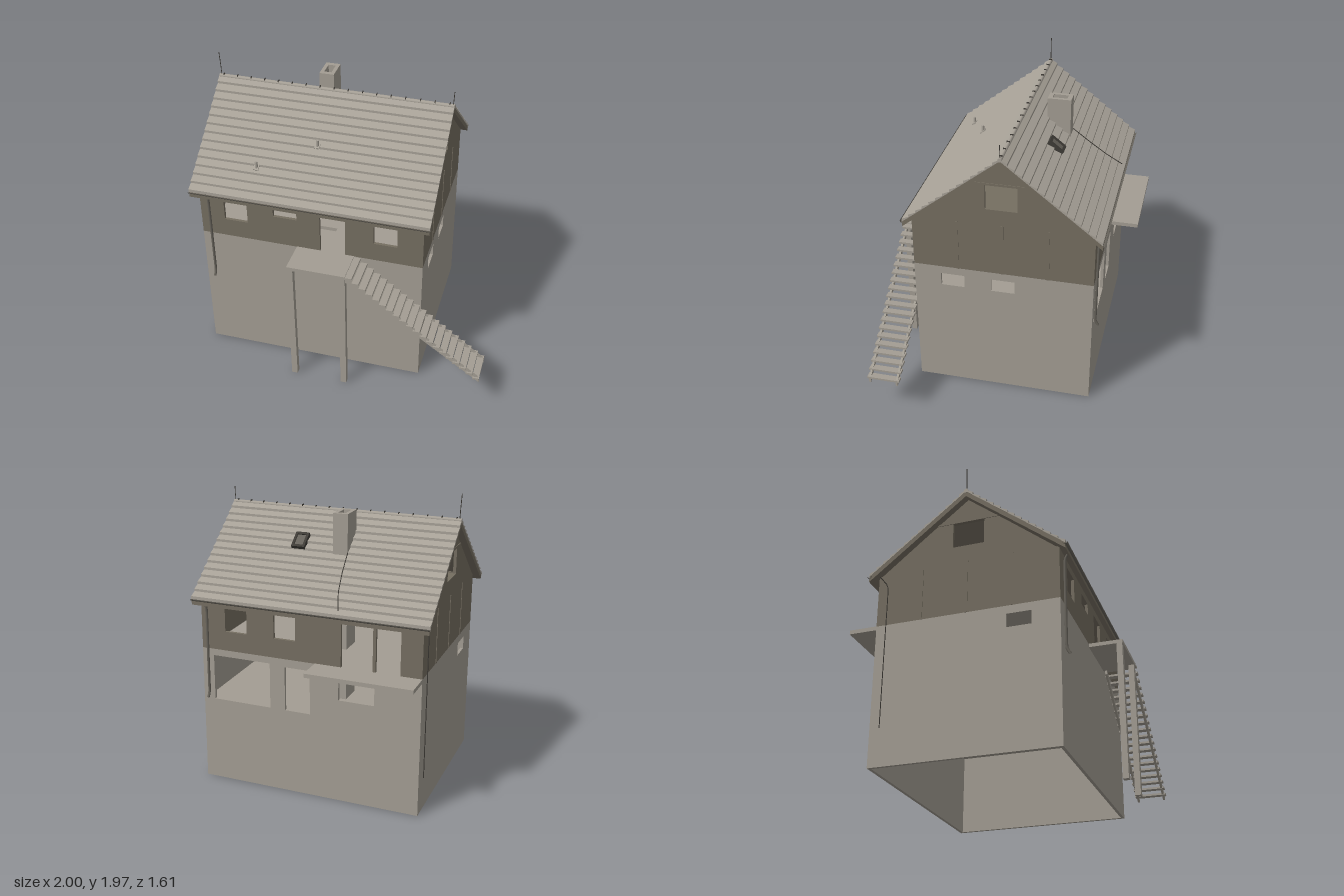
import * as THREE from 'three';

const mat = (name, color, side = THREE.FrontSide) => {
  const m = new THREE.MeshStandardMaterial({ color, side });
  m.name = name;
  return m;
};

export function createModel() {
  const house = new THREE.Group();
  house.name = 'house';
  const plaster = mat('plaster', 0xa39d93);
  const tile = mat('roofTile', 0xa7a197);
  const wood = mat('darkWood', 0x756e61);
  const metal = mat('metal', 0x67635b, THREE.DoubleSide);
  const dark = mat('darkFrame', 0x3f3c37);

  const X0 = -0.95, X1 = 0.555, Z0 = -0.62, Z1 = 0.58; // wall faces
  const T = 0.02, FLOOR = 0.935, ZR = -0.02, PITCH = 0.792, HALF = 0.65;
  const angle = Math.atan(PITCH);
  const roofY = (z) => 1.81 - PITCH * Math.abs(z - ZR);

  const add = (name, geo, m, x = 0, y = 0, z = 0, parent = house) => {
    const mesh = new THREE.Mesh(geo, m);
    mesh.name = name;
    mesh.position.set(x, y, z);
    parent.add(mesh);
    return mesh;
  };
  // box from its minimum and maximum corners
  const block = (name, m, a, b) => add(name,
    new THREE.BoxGeometry(b[0] - a[0], b[1] - a[1], b[2] - a[2]), m,
    (a[0] + b[0]) / 2, (a[1] + b[1]) / 2, (a[2] + b[2]) / 2);
  // polygon with rectangular holes [x0, y0, x1, y1]
  const panel = (pts, holes, depth) => {
    const s = new THREE.Shape(pts.map((p) => new THREE.Vector2(...p)));
    for (const [a, b, c, d] of holes) {
      s.holes.push(new THREE.Path([[a, b], [a, d], [c, d], [c, b]].map((p) => new THREE.Vector2(...p))));
    }
    return new THREE.ExtrudeGeometry(s, { depth, bevelEnabled: false });
  };
  const rect = (a, b, c, d) => [[a, b], [c, b], [c, d], [a, d]];
  // same, drawn in (z, y) and running from x = right towards -x
  const sidePanel = (pts, holes, depth, right) =>
    panel(pts, holes, depth).rotateY(-Math.PI / 2).translate(right, 0, 0);
  // same, drawn in (x, z) and running up from y
  const flatPanel = (pts, holes, depth, y) =>
    panel(pts.map(([x, z]) => [x, -z]).reverse(), holes.map(([a, b, c, d]) => [a, -d, c, -b]), depth)
      .rotateX(-Math.PI / 2).translate(0, y, 0);
  const tube = (name, pts, r, m) => add(name, new THREE.TubeGeometry(
    new THREE.CatmullRomCurve3(pts.map((p) => new THREE.Vector3(...p)), false, 'catmullrom', 0.1), 32, r, 8), m);

  // plastered lower storey, open underneath
  add('lowerFrontWall', panel(rect(X0, 0, X1, FLOOR), [], T), plaster, 0, 0, Z1 - T);
  add('lowerBackWall', panel(rect(X0, 0, X1, FLOOR),
    [[0.07, 0.58, 0.475, 0.89], [-0.21, 0.58, -0.035, 0.88], [-0.645, 0.71, -0.405, 0.88]], T), plaster, 0, 0, Z0);
  const lowerSide = rect(Z0 + T, 0, Z1 - T, FLOOR);
  add('lowerRightWall', sidePanel(lowerSide, [[0.24, 0.79, 0.4, 0.88], [-0.1, 0.79, 0.06, 0.88]], T, X1), plaster);
  add('lowerLeftWall', sidePanel(lowerSide, [[0.24, 0.79, 0.4, 0.88]], T, X0 + T), plaster);

  // inner floors, the lower two with a stair opening
  const inside = rect(X0 + T, Z0 + T, X1 - T, Z1 - T);
  const stairwell = [[-0.64, 0.32, -0.09, 0.54]];
  add('basementFloor', flatPanel(inside, stairwell, 0.025, 0.555), plaster);
  add('mainFloor', flatPanel(inside, stairwell, 0.025, 0.91), plaster);
  add('atticFloor', flatPanel(inside, [], 0.02, 1.26), wood);

  // timber upper storey
  const TOP = 1.29, win = [1.065, 1.23];
  add('upperFrontWall', panel([[X0, FLOOR], [-0.13, FLOOR], [-0.13, 1.23], [0.04, 1.23], [0.04, FLOOR],
    [X1, FLOOR], [X1, TOP], [X0, TOP]],
  [[-0.785, win[0], -0.625, win[1]], [-0.445, 1.15, -0.285, win[1]], [0.23, win[0], 0.385, win[1]]], T),
  wood, 0, 0, Z1 - T);
  add('upperBackWall', panel([[X0, FLOOR], [-0.81, FLOOR], [-0.81, 1.23], [-0.42, 1.23], [-0.42, FLOOR],
    [X1, FLOOR], [X1, TOP], [X0, TOP]],
  [[-0.11, win[0], 0.04, win[1]], [0.23, win[0], 0.385, win[1]]], T), wood, 0, 0, Z0);
  block('balconyDoorPost', wood, [-0.65, FLOOR, Z0], [-0.63, 1.23, Z0 + T]);
  const gable = [[Z0 + T, FLOOR], [Z1 - T, FLOOR], [Z1 - T, TOP], [ZR, 1.76], [Z0 + T, TOP]];
  const gableHole = [[-0.12, 1.415, 0.09, 1.59]];
  for (const [side, right, face] of [['right', X1, X1], ['left', X0 + T, X0]]) {
    add(side + 'Gable', sidePanel(gable, gableHole, T, right), wood);
    // cover strips on the boarding
    for (const z of [-0.32, -0.02, 0.28]) {
      block(side + 'GableStrip', wood, [face - 0.004, FLOOR, z - 0.008], [face + 0.004, 1.3, z + 0.008]);
    }
    block(side + 'GableRail', wood, [face - 0.004, 1.59, -0.23], [face + 0.004, 1.605, 0.19]);
  }

  // roof: timber deck below stepped tile courses
  const courses = 14;
  for (const s of [1, -1]) {
    const face = s > 0 ? 'front' : 'back';
    const at = (t, lift) => [ZR + s * HALF * t, 1.79 - PITCH * HALF * t + lift];
    const order = (pts) => (s > 0 ? pts : pts.reverse());
    add(face + 'RoofDeck', sidePanel(order([at(0, -0.035), at(1, -0.035), at(1, 0), at(0, 0)]), [], 1.594, 0.597), wood);
    const pts = [at(0, 0), at(1, 0)];
    for (let i = courses; i > 0; i--) pts.push(at(i / courses, 0.022), at((i - 1) / courses, 0.006));
    pts[pts.length - 1] = at(0, 0.012);
    add(face + 'RoofTiles', sidePanel(order(pts), [], 1.6, 0.6), tile);
    // half round gutter
    const gutter = new THREE.CylinderGeometry(0.016, 0.016, 1.6, 10, 1, true, 0, Math.PI);
    gutter.rotateZ(Math.PI / 2).rotateX(0);
    gutter.rotateX(Math.PI / 2);
    const bottom = gutter.clone();
    bottom.computeBoundingBox();
    if (bottom.boundingBox.max.y > 0.01 && bottom.boundingBox.min.y > -0.01) gutter.rotateX(Math.PI);
    else if (bottom.boundingBox.max.y > 0.01) gutter.rotateX(Math.PI / 2);
    add(face + 'Gutter', gutter, metal, -0.2, 1.282, s > 0 ? 0.628 : -0.668);
  }

  // ridge cap with holders
  const cap = add('ridgeCap', new THREE.CylinderGeometry(0.014, 0.014, 1.6, 10), tile, -0.2, 1.796, ZR);
  cap.rotation.z = Math.PI / 2;
  for (let i = 0; i < 17; i++) {
    block('ridgeHolder', dark, [-0.97 + i * 0.096, 1.79, ZR - 0.01], [-0.965 + i * 0.096, 1.816, ZR + 0.01]);
  }

  // lightning rods and conductors
  tube('leftRod', [[-0.985, 1.8, ZR], [-0.988, 1.88, ZR], [-0.993, 1.97, ZR]], 0.0025, dark);
  tube('rightRod', [[0.59, 1.8, ZR], [0.593, 1.85, ZR], [0.595, 1.9, ZR]], 0.0025, dark);
  tube('roofConductor', [[-0.34, -0.3], [-0.35, -0.42], [-0.37, -0.54], [-0.41, -0.65]]
    .map(([x, z]) => [x, roofY(z) + 0.004, z]), 0.003, dark);
  tube('wallConductor', [[-0.985, 1.27, -0.6], [-0.962, 1.2, -0.55], [-0.962, 0.8, -0.55], [-0.962, 0.24, -0.55]], 0.003, dark);

  // downpipes
  tube('frontDownpipe', [[-0.885, 1.28, 0.625], [-0.885, 1.23, 0.597], [-0.885, 1.18, 0.594],
    [-0.885, 0.64, 0.594], [-0.885, 0.59, 0.615]], 0.009, metal);
  tube('backDownpipe', [[0.51, 1.28, -0.665], [0.51, 1.23, -0.638], [0.51, 1.18, -0.634],
    [0.51, 0.64, -0.634], [0.51, 0.595, -0.655]], 0.009, metal);

  // chimney with open flue
  add('chimney', flatPanel(rect(-0.34, -0.305, -0.24, -0.145), [[-0.315, -0.275, -0.265, -0.175]], 1.26, 0.58), plaster);

  // skylight lying on the back slope
  const skylight = new THREE.Group();
  skylight.name = 'skylight';
  skylight.position.set(0.003, roofY(-0.255), -0.255);
  skylight.rotation.x = -angle;
  house.add(skylight);
  for (const s of [1, -1]) {
    add('skylightSideFrame', new THREE.BoxGeometry(0.016, 0.03, 0.12), dark, s * 0.038, 0.005, 0, skylight);
    add('skylightEndFrame', new THREE.BoxGeometry(0.09, 0.03, 0.018), dark, 0, 0.005, s * 0.051, skylight);
  }
  add('skylightPane', new THREE.BoxGeometry(0.062, 0.008, 0.086), metal, 0, 0.008, 0, skylight);

  // roof vents
  for (const [x, z] of [[-0.22, 0.3], [-0.585, 0.46]]) {
    add('roofVent', new THREE.CylinderGeometry(0.009, 0.011, 0.08, 10), tile, x, roofY(z) + 0.005, z);
    add('roofVentFoot', new THREE.BoxGeometry(0.034, 0.008, 0.04), tile, x, roofY(z) + 0.002, z).rotation.x = angle;
  }

  // back balcony and front landing on posts
  block('balcony', plaster, [-0.95, 0.91, -0.805], [-0.245, 0.937, Z0]);
  block('landing', plaster, [-0.29, 0.912, Z1], [0.1, 0.937, 0.803]);
  for (const x of [-0.29, 0.06]) block('landingPost', plaster, [x, 0, 0.762], [x + 0.04, 0.912, 0.8]);

  // outside stair: two stringers and open treads
  for (const z of [0.592, 0.778]) {
    add('stairStringer', panel([[0.1, 0.885], [1.0, 0.24], [1.0, 0.275], [0.125, 0.905], [0.1, 0.92]], [], 0.014), plaster, 0, 0, z);
  }
  for (let i = 0; i < 20; i++) {
    const x = 0.1 + i * 0.045, y = 0.932 - i * 0.0342;
    block('stairTread', plaster, [x, y - 0.014, 0.582], [x + 0.045, y, 0.803]);
  }
  return house;
}
